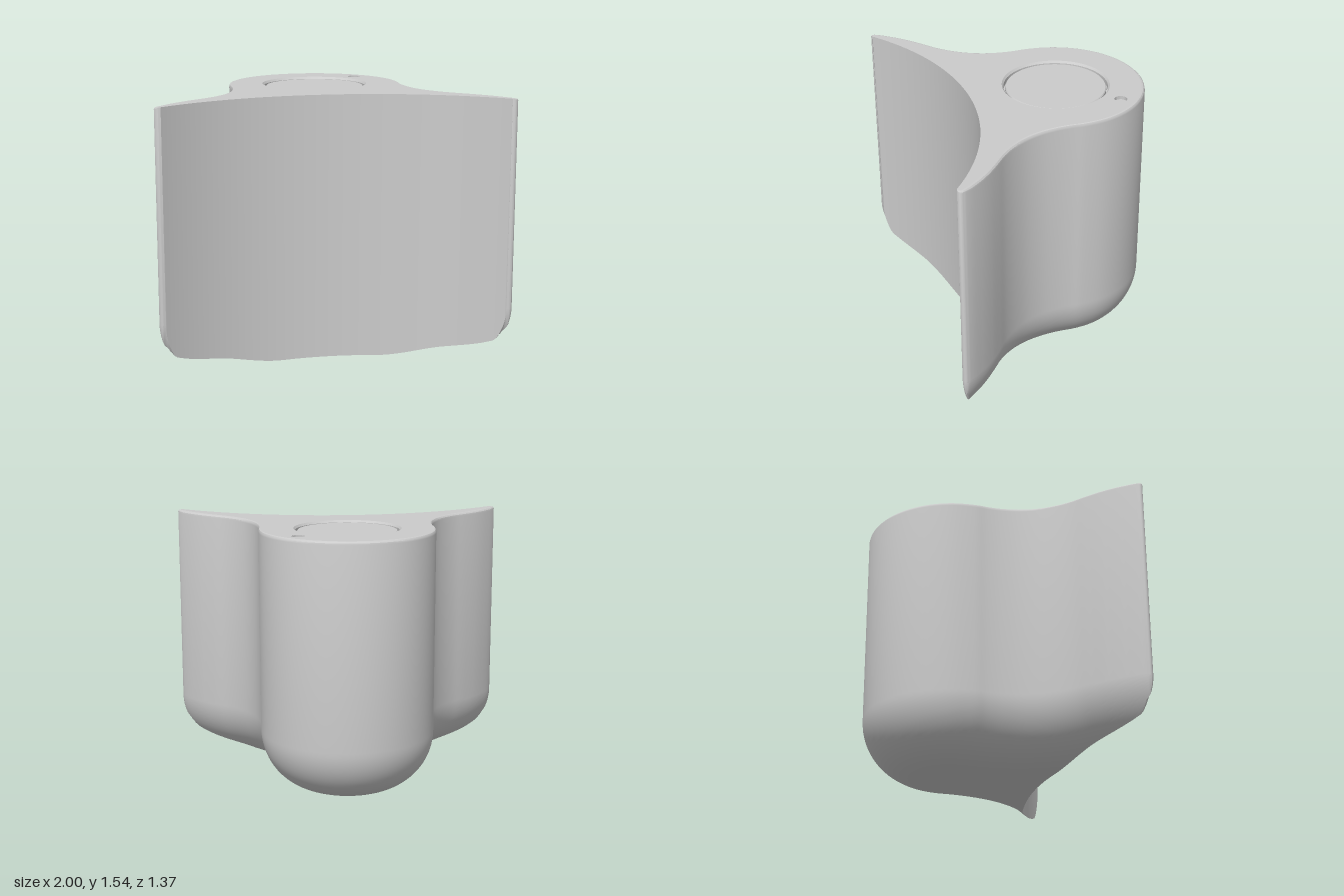
import * as THREE from 'three';
import { toCreasedNormals } from 'three/addons/utils/BufferGeometryUtils.js';

const H = 1.545;         // overall height
const R = 0.35;          // fillet radius under the body
const BEVEL = 0.02;      // rounding of the top edge
const CZ = -0.175;       // centre of the round back
const ARC = 1.54;        // radius of the concave front
const material = new THREE.MeshStandardMaterial({ color: 0xcccccc, side: THREE.DoubleSide });

const frontZ = x => 0.34 + ARC - Math.sqrt(ARC * ARC - x * x);

// Outline from the left wing tip round the back to the right one.
// The y component holds the x of the matching point on the concave front.
function outlinePoints() {
  const half = [
    [0.965, 0.682, 0.965], [0.985, 0.685, 0.965], [1.0, 0.668, 0.96], [0.985, 0.63, 0.945],
    [0.93, 0.555, 0.89], [0.86, 0.48, 0.8], [0.78, 0.41, 0.71], [0.7, 0.345, 0.62],
    [0.63, 0.27, 0.53], [0.57, 0.18, 0.44], [0.53, 0.08, 0.37], [0.511, -0.02, 0.32],
    [0.507, -0.1, 0.28],
  ].map(([x, z, q]) => new THREE.Vector3(x, q, z));
  for (let i = 0; i < 6; i++) {
    const a = i * Math.PI / 12;
    half.push(new THREE.Vector3(0.51 * Math.cos(a), 0.25 * Math.cos(a), CZ - 0.51 * Math.sin(a)));
  }
  const mirrored = half.map(p => new THREE.Vector3(-p.x, -p.y, p.z)).reverse();
  const all = [...half, new THREE.Vector3(0, 0, CZ - 0.51), ...mirrored];
  return new THREE.CatmullRomCurve3(all).getPoints((all.length - 1) * 4);
}

// Shortest distance in plan from a point to the outline
function outlineDistance(outline, x, z) {
  let best = Infinity;
  for (let i = 0; i + 1 < outline.length; i++) {
    const a = outline[i], b = outline[i + 1];
    const dx = b.x - a.x, dz = b.z - a.z;
    const t = THREE.MathUtils.clamp(((x - a.x) * dx + (z - a.z) * dz) / (dx * dx + dz * dz || 1), 0, 1);
    best = Math.min(best, Math.hypot(x - a.x - t * dx, z - a.z - t * dz));
  }
  return best;
}

// Height of the rounded underside at a distance from the outline
const undersideY = d => (d < R ? R - Math.sqrt(Math.max(0, R * R - (R - d) ** 2)) : 0);

function circlePath(x, y, r) {
  return new THREE.Path().absarc(x, y, r, 0, Math.PI * 2, true);
}

export function createModel() {
  const group = new THREE.Group();
  const add = (name, geometry, x = 0, y = 0, z = 0) => {
    const mesh = new THREE.Mesh(geometry, material);
    mesh.name = name;
    mesh.position.set(x, y, z);
    group.add(mesh);
  };

  // Body: one section per outline point, down the side, under and up the front
  const outline = outlinePoints();
  const STEPS = 30;
  const positions = [], indices = [], rim = [], front = [];
  let rows = 0;
  for (const p of outline) {
    const qx = p.y, qz = frontZ(qx);
    const dx = qx - p.x, dz = qz - p.z, len = Math.hypot(dx, dz) || 1;
    const inset = Math.min(BEVEL, len * 0.3);
    const section = [];
    for (let k = 0; k <= 3; k++) {
      const a = k / 3 * Math.PI / 2;
      const s = inset * (1 - Math.sin(a)) / len;
      section.push([p.x + dx * s, H - inset * (1 - Math.cos(a)), p.z + dz * s]);
    }
    for (let k = 0; k <= STEPS; k++) {
      const s = (k / STEPS) ** 2;
      const x = p.x + dx * s, z = p.z + dz * s;
      section.push([x, undersideY(k ? outlineDistance(outline, x, z) : 0), z]);
    }
    section.push([qx, H, qz]);
    rows = section.length;
    positions.push(...section.flat());
    rim.push(new THREE.Vector2(section[0][0], -section[0][2]));
    front.push(new THREE.Vector2(qx, -qz));
  }
  for (let i = 0; i + 1 < outline.length; i++) {
    for (let j = 0; j + 1 < rows; j++) {
      const a = i * rows + j, c = a + rows;
      indices.push(a, a + 1, c, c, a + 1, c + 1);
    }
  }
  const body = new THREE.BufferGeometry();
  body.setAttribute('position', new THREE.Float32BufferAttribute(positions, 3));
  body.setIndex(indices);
  add('body', toCreasedNormals(body, 0.5));

  // Top plate with its two openings
  const edge = [...rim, ...front.reverse()].filter((p, i, all) => !i || p.distanceTo(all[i - 1]) > 1e-4);
  const plate = new THREE.Shape(edge);
  plate.holes.push(circlePath(0, -CZ, 0.31), circlePath(0.295, 0.46, 0.036));
  add('topPlate', new THREE.ShapeGeometry(plate, 32).rotateX(-Math.PI / 2), 0, H, 0);

  // Round recess with a disc set into it
  const lathe = (pts, n) => toCreasedNormals(
    new THREE.LatheGeometry(pts.map(([r, y]) => new THREE.Vector2(r, y)), n), 0.5);
  add('recess', lathe([[0, -0.04], [0.3, -0.04], [0.3, -0.012], [0.31, 0]], 64), 0, H, CZ);
  add('disc', lathe([[0.29, -0.04], [0.29, -0.018], [0.285, -0.012], [0, -0.012]], 64), 0, H, CZ);

  // Small round socket
  add('socket', lathe([[0, -0.02], [0.036, -0.02], [0.036, 0]], 24), 0.295, H, -0.46);

  return group;
}
